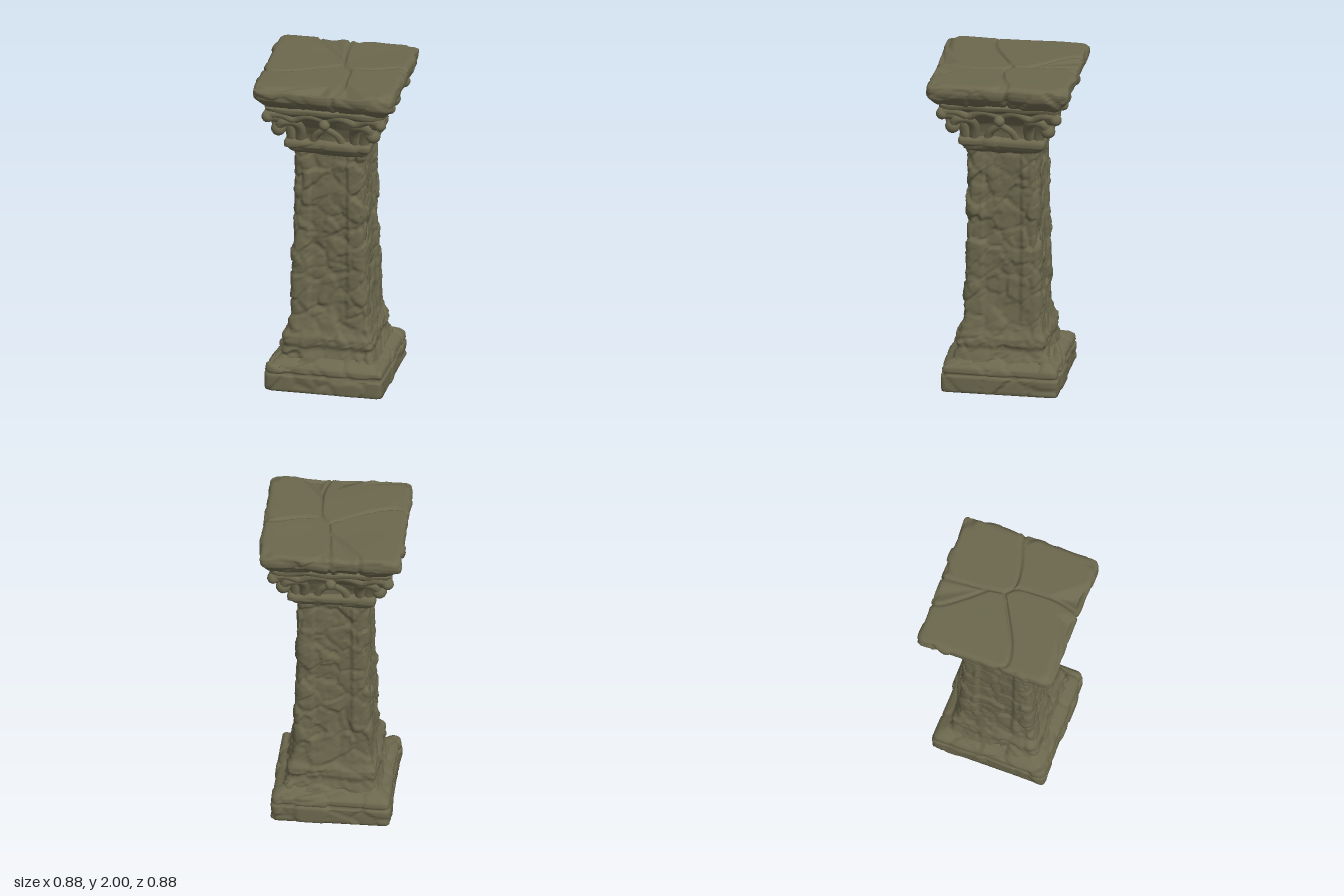
import * as THREE from 'three';

const stone = new THREE.MeshStandardMaterial({ color: 0x6c684e });
stone.name = 'mossy stone';

const smooth = THREE.MathUtils.smoothstep;
const hash = (x, y, z, k) => {
  const s = Math.sin(x * 127.1 + y * 311.7 + z * 74.7 + k * 53.3) * 43758.5453;
  return s - Math.floor(s);
};

// Broken masonry: each cell gets its own lift and tilt, with a groove between cells
function rubble(p, size, lift, tilt, groove) {
  const q = [p.x / size, p.y / size, p.z / size];
  // bend the cell borders a little
  q[0] += 0.12 * Math.sin(q[1] * 3.1 + q[2] * 2);
  q[1] += 0.12 * Math.sin(q[0] * 2.7 + q[2] * 3.3);
  const c = q.map(Math.floor);
  let f1 = 9, f2 = 9, best = null;
  for (let i = -1; i < 2; i++) for (let j = -1; j < 2; j++) for (let k = -1; k < 2; k++) {
    const a = c[0] + i, b = c[1] + j, d = c[2] + k;
    const v = [q[0] - a - hash(a, b, d, 1), q[1] - b - hash(a, b, d, 2), q[2] - d - hash(a, b, d, 3)];
    const r = Math.hypot(...v);
    if (r < f1) { f2 = f1; f1 = r; best = { a, b, d, v }; } else if (r < f2) f2 = r;
  }
  const { a, b, d, v } = best;
  const slope = v.reduce((s, e, i) => s + e * (hash(a, b, d, 5 + i) - 0.5), 0);
  return lift * (hash(a, b, d, 4) - 0.5) + tilt * slope - groove * (1 - smooth(f2 - f1, 0, 0.13));
}

const ripple = (p, f) => Math.sin(p.x * f + 1) * Math.sin(p.y * f * 1.2 + 2) + Math.sin(p.z * f * 1.1 + p.x * f * 0.6);

// Square rounded rings stacked along a [half width, y] profile, then pushed along the normals
function squareLoft(name, profile, perSide, step, radius, displace) {
  const rings = [profile[0]];
  for (let i = 1; i < profile.length; i++) {
    const [w0, y0] = profile[i - 1], [w1, y1] = profile[i];
    const n = y0 === 0 && y1 === 0 ? 1 : Math.ceil(Math.hypot(w1 - w0, y1 - y0) / step);
    for (let k = 1; k <= n; k++) rings.push([w0 + (w1 - w0) * k / n, y0 + (y1 - y0) * k / n]);
  }
  const pos = [], index = [], count = perSide * 4;
  for (const [w, y] of rings) {
    const r = Math.min(radius, w * 0.3), inner = w - r;
    for (let s = 0; s < 4; s++) for (let j = 0; j < perSide; j++) {
      const px = w * (2 * j / perSide - 1);
      const cx = THREE.MathUtils.clamp(px, -inner, inner);
      const len = Math.hypot(px - cx, r) || 1;
      let x = cx + (px - cx) / len * r, z = inner + r / len * r;
      for (let k = 0; k < s; k++) [x, z] = [z, -x];
      pos.push(x, y, z);
    }
  }
  for (let i = 0; i < rings.length - 1; i++) for (let j = 0; j < count; j++) {
    const a = i * count + j, b = i * count + (j + 1) % count;
    index.push(a, b, b + count, a, b + count, a + count);
  }
  const geo = new THREE.BufferGeometry();
  geo.setAttribute('position', new THREE.Float32BufferAttribute(pos, 3));
  geo.setIndex(index);
  geo.computeVertexNormals();
  const P = geo.attributes.position, N = geo.attributes.normal;
  const p = new THREE.Vector3(), n = new THREE.Vector3();
  for (let i = 0; i < P.count; i++) {
    p.fromBufferAttribute(P, i);
    n.fromBufferAttribute(N, i);
    const ground = p.y < 0.001;
    if (ground) n.y = 0;
    p.addScaledVector(n, displace(p, n));
    P.setXYZ(i, p.x, ground ? 0 : THREE.MathUtils.clamp(p.y, 0, 2), p.z);
  }
  geo.computeVertexNormals();
  const mesh = new THREE.Mesh(geo, stone);
  mesh.name = name;
  return mesh;
}

// Cracks across the top slab as [x, z] paths, smoothed into curves
const cracks = [
  [[0, -0.46], [0.01, -0.3], [0.02, -0.18], [0.04, -0.04]],
  [[-0.18, -0.46], [-0.17, -0.37], [-0.07, -0.24], [0.02, -0.14]],
  [[-0.46, 0.04], [-0.41, 0.12], [-0.36, 0.14], [-0.25, 0.115], [-0.12, 0.05], [0.04, -0.04]],
  [[0.04, -0.04], [0.07, -0.005], [0.13, 0.01], [0.25, -0.01], [0.38, -0.055], [0.46, -0.04]],
  [[0.04, -0.03], [0.09, 0.03], [0.1, 0.15], [0.1, 0.3], [0.05, 0.46]],
].map(path => new THREE.SplineCurve(path.map(q => new THREE.Vector2(...q))).getPoints(14));
function crackDistance(x, z) {
  let best = 9;
  for (const path of cracks) for (let i = 1; i < path.length; i++) {
    const { x: ax, y: az } = path[i - 1], dx = path[i].x - ax, dz = path[i].y - az;
    const t = THREE.MathUtils.clamp(((x - ax) * dx + (z - az) * dz) / (dx * dx + dz * dz), 0, 1);
    best = Math.min(best, Math.hypot(x - ax - t * dx, z - az - t * dz));
  }
  return best;
}

// Wedge-shaped chips in the slab's rim: apex x, z, direction x, z, spread, slope
const chips = [[0.1, 0.2, 0.24, 0.97, 0.45, 0.5], [0.02, 0.3, -0.35, 0.94, 0.8, 0.35], [-0.12, 0.36, -0.94, 0.34, 0.25, 0.5],
  [0.04, -0.36, 0.25, -0.97, 0.7, 0.4], [0.02, -0.15, -0.45, -0.89, 0.22, 0.3], [0.36, -0.02, 1, 0.1, 0.8, 0.4],
  [0.36, -0.36, 0.71, -0.71, 2, 0.25], [-0.37, 0.37, -0.71, 0.71, 2, 0.2], [0.37, 0.36, 0.71, 0.71, 2, 0.2]];
const chipDepth = p => Math.max(...chips.map(([x, z, dx, dz, spread, slope]) => {
  const u = (p.x - x) * dx + (p.z - z) * dz, v = Math.abs((p.z - z) * dx - (p.x - x) * dz);
  return slope * THREE.MathUtils.clamp(u * spread - v, 0, 0.07);
}));

// Tapering round stalk along a curve, from radius r0 to r1
function stalk(name, points, r0, r1) {
  const curve = new THREE.CatmullRomCurve3(points.map(p => new THREE.Vector3(...p)));
  const geo = new THREE.TubeGeometry(curve, 24, 1, 8);
  const P = geo.attributes.position, v = new THREE.Vector3();
  for (let i = 0; i < P.count; i++) {
    const t = Math.floor(i / 9) / 24, c = curve.getPointAt(t);
    v.fromBufferAttribute(P, i).sub(c).multiplyScalar(r0 + (r1 - r0) * t).add(c);
    P.setXYZ(i, v.x, v.y, v.z);
  }
  const mesh = new THREE.Mesh(geo, stone);
  mesh.name = name;
  return mesh;
}

function knob(name, x, y, z, r) {
  const mesh = new THREE.Mesh(new THREE.SphereGeometry(r, 14, 10), stone);
  mesh.position.set(x, y, z);
  mesh.name = name;
  return mesh;
}

export function createModel() {
  const group = new THREE.Group();
  group.name = 'stone column';

  // Plinth with a split course and sloping rubble foot
  group.add(squareLoft('plinth',
    [[0.001, 0], [0.353, 0], [0.36, 0.012], [0.36, 0.1], [0.346, 0.112], [0.356, 0.126], [0.352, 0.155],
      [0.335, 0.172], [0.3, 0.19], [0.265, 0.22]],
    44, 0.012, 0.035, p => rubble(p, 0.18, 0.016, 0.014, 0.009)));

  // Tapering shaft with recessed panels between worn corner strips
  group.add(squareLoft('shaft',
    [[0.3, 0.17], [0.284, 0.22], [0.27, 0.26], [0.28, 0.29], [0.276, 0.33], [0.252, 0.37], [0.242, 0.43],
      [0.233, 0.6], [0.226, 0.85], [0.222, 1.1], [0.218, 1.35], [0.218, 1.53]],
    40, 0.0125, 0.045, p => {
      const across = Math.min(Math.abs(p.x), Math.abs(p.z));
      const panel = (1 - smooth(across, 0.108, 0.122)) * smooth(p.y, 0.35, 0.55);
      return rubble(p, 0.15, 0.018, 0.018, 0.008) + rubble(p, 0.065, 0.008, 0.01, 0.003) - 0.015 * panel;
    }));

  // Collar moulding and flaring bell of the capital
  group.add(squareLoft('collar',
    [[0.2, 1.5], [0.225, 1.515], [0.246, 1.535], [0.254, 1.55], [0.266, 1.56], [0.268, 1.588], [0.26, 1.603],
      [0.245, 1.61], [0.22, 1.612]],
    30, 0.01, 0.025, p => rubble(p, 0.25, 0.007, 0.008, 0.004)));
  group.add(squareLoft('capital bell',
    [[0.23, 1.59], [0.238, 1.64], [0.26, 1.7], [0.3, 1.76], [0.345, 1.805], [0.365, 1.82], [0.37, 1.848],
      [0.34, 1.865]],
    30, 0.012, 0.04, p => 0.004 * ripple(p, 26)));

  // Carved leaves, curls and garlands, repeated on the four sides
  for (let s = 0; s < 4; s++) {
    const side = new THREE.Group();
    side.name = 'capital carving';
    side.rotation.y = s * Math.PI / 2;
    side.add(knob('rosette', 0, 1.752, 0.332, 0.034));
    side.add(stalk('garland', [[-0.36, 1.8, 0.35], [-0.27, 1.805, 0.34], [-0.19, 1.77, 0.32], [-0.1, 1.81, 0.34],
      [0, 1.775, 0.305], [0.1, 1.81, 0.34], [0.19, 1.77, 0.32], [0.27, 1.805, 0.34], [0.36, 1.8, 0.35]], 0.026, 0.026));
    for (const m of [-1, 1]) {
      side.add(stalk('arch leaf', [[m * 0.09, 1.595, 0.228], [m * 0.065, 1.65, 0.242], [0, 1.7, 0.266]], 0.028, 0.018));
      side.add(stalk('side leaf', [[m * 0.17, 1.595, 0.218], [m * 0.165, 1.68, 0.248], [m * 0.19, 1.74, 0.288],
        [m * 0.26, 1.745, 0.31], [m * 0.29, 1.7, 0.295]], 0.036, 0.03));
    }
    side.add(stalk('corner leaf', [[0.215, 1.595, 0.215], [0.235, 1.68, 0.235], [0.28, 1.755, 0.28],
      [0.345, 1.79, 0.345]], 0.036, 0.036));
    side.add(knob('corner bud', 0.345, 1.786, 0.345, 0.037));
    side.add(knob('corner curl', 0.29, 1.69, 0.29, 0.045));
    group.add(side);
  }

  // Cracked slab on top
  group.add(squareLoft('top slab',
    [[0.3, 1.848], [0.365, 1.85], [0.385, 1.868], [0.412, 1.9], [0.425, 1.918], [0.43, 1.945], [0.427, 1.978],
      [0.415, 1.991], [0.4, 1.995], [0.001, 1.996]],
    58, 0.011, 0.04, (p, n) => {
      const crack = 1 - smooth(crackDistance(p.x, p.z), 0.001, 0.015);
      const edge = 1 - smooth(n.y, 0.3, 0.95);
      return edge * (rubble(p, 0.18, 0.02, 0.016, 0.004) + 0.003 * ripple(p, 22))
        + 0.002 * ripple(p, 9) - 0.016 * crack - chipDepth(p) * smooth(n.y, 0.2, 0.9);
    }));
  return group;
}
